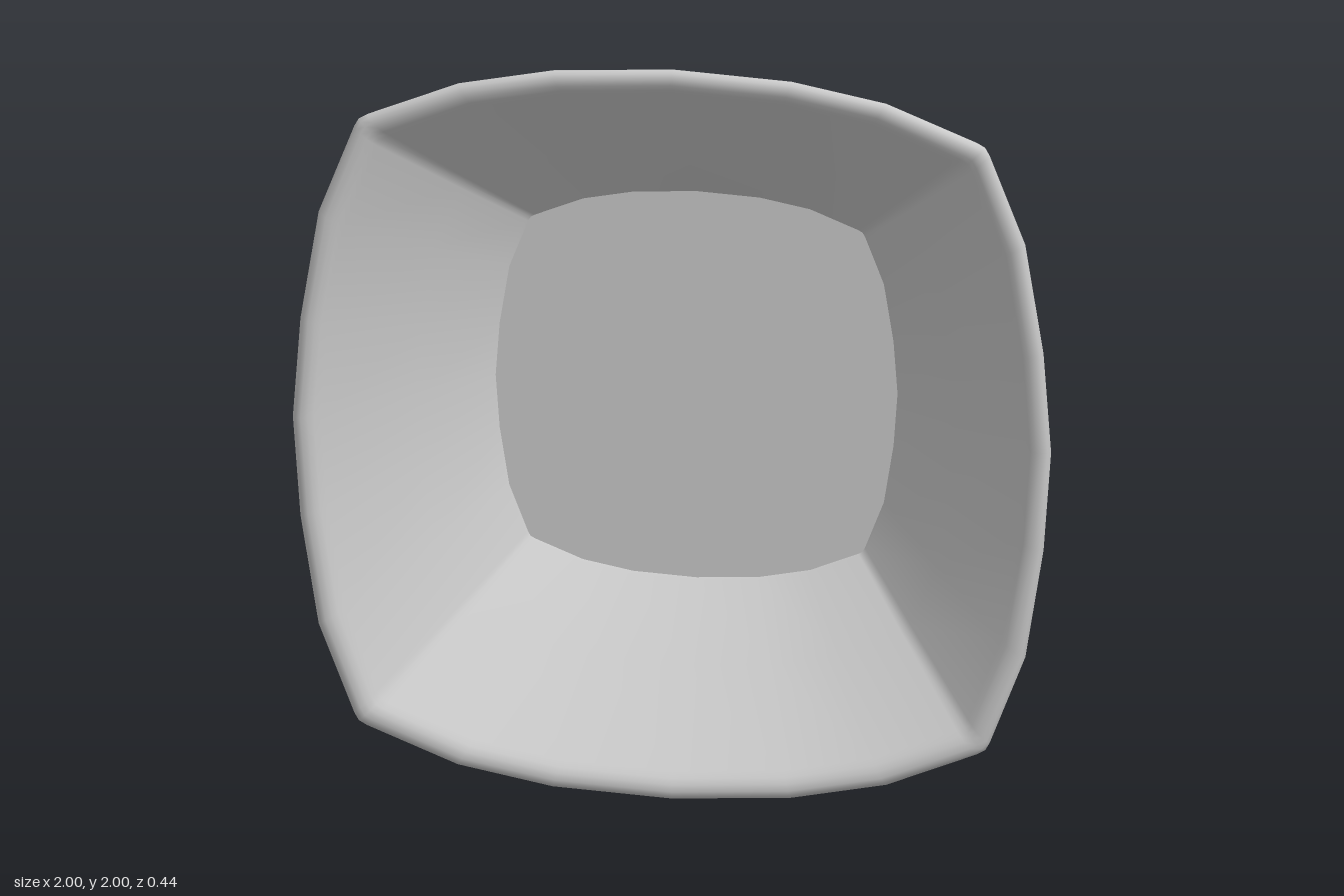
import * as THREE from 'three';

// One quadrant of the bulging-square outline, from +x round to just before +y
const quarter = [
  [1, 0], [0.98, 0.27], [0.932, 0.565], [0.838, 0.805],
  [0.826, 0.826], [0.805, 0.838], [0.565, 0.934], [0.315, 0.982],
];

// Full outline, counter-clockwise: mirror the quadrant into all four
function makeOutline() {
  const q1 = quarter.map(([x, y]) => [x, y]);
  const q2 = [[0, 1], ...quarter.slice(1).reverse().map(([x, y]) => [-x, y])];
  const half = [...q1, ...q2];
  return [...half, ...half.map(([x, y]) => [-x, -y])];
}

// Sheet swept through scaled copies of the outline; profile is [scale, z]
function ringSheet(outline, profile) {
  const n = outline.length, pos = [], index = [];
  for (const [s, z] of profile) for (const [x, y] of outline) pos.push(x * s, y * s, z);
  for (let i = 0; i < profile.length - 1; i++) {
    for (let j = 0; j < n; j++) {
      const k = (j + 1) % n;
      const a = i * n + j, b = i * n + k, c = a + n, d = b + n;
      index.push(a, b, c, b, d, c);
    }
  }
  const g = new THREE.BufferGeometry();
  g.setAttribute('position', new THREE.Float32BufferAttribute(pos, 3));
  g.setIndex(index);
  g.computeVertexNormals();
  return g;
}

export function createModel() {
  const group = new THREE.Group();
  group.name = 'squareBowl';
  const material = new THREE.MeshStandardMaterial({ color: 0xcccccc, side: THREE.DoubleSide });
  const outline = makeOutline();

  const add = (name, geometry) => {
    const mesh = new THREE.Mesh(geometry, material);
    mesh.name = name;
    mesh.position.y = 1;
    group.add(mesh);
  };

  // Outer skirt with a free back edge, rolled rim, and sloping inner wall
  add('skirtRimAndWall', ringSheet(outline, [
    [0.8, -0.03], [0.985, 0.178], [0.998, 0.192], [1, 0.202], [0.992, 0.212], [0.978, 0.216],
    [0.96, 0.213], [0.945, 0.203], [0.93, 0.189], [0.71, -0.03], [0.535, -0.214], [0.53, -0.22],
  ]));

  // Flat floor closing the inner wall
  const shape = new THREE.Shape(outline.map(([x, y]) => new THREE.Vector2(x * 0.53, y * 0.53)));
  add('floor', new THREE.ShapeGeometry(shape).translate(0, 0, -0.22));

  return group;
}
